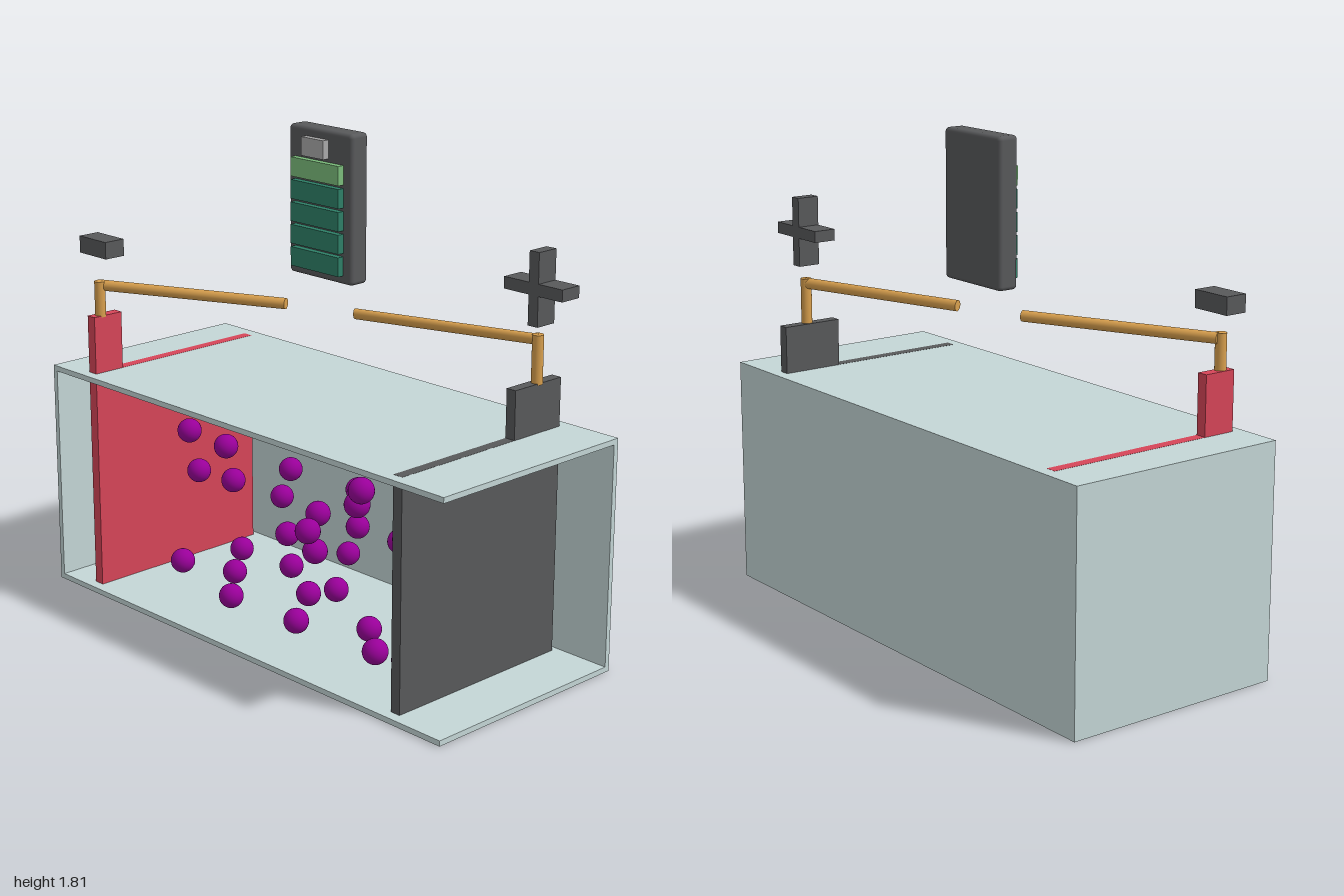
import * as THREE from 'three';
import { RoundedBoxGeometry } from 'three/addons/geometries/RoundedBoxGeometry.js';

const mat = (color) => new THREE.MeshStandardMaterial({ color });
const M = {
  tank: mat(0xc4d6d6), dark: mat(0x58595b), red: mat(0xd64558), copper: mat(0xd9a04e),
  teal: mat(0x2f8068), green: mat(0x7cbd7c), silver: mat(0xaaaaaa), ion: mat(0x990099),
};

export function createModel() {
  const root = new THREE.Group();

  const add = (parent, name, geometry, material) => {
    const mesh = new THREE.Mesh(geometry, material);
    mesh.name = name;
    parent.add(mesh);
    return mesh;
  };
  const group = (name) => {
    const g = new THREE.Group();
    g.name = name;
    root.add(g);
    return g;
  };
  // Box given by its extents along each axis
  const box = (parent, name, material, [x0, x1], [y0, y1], [z0, z1]) => {
    const m = add(parent, name, new THREE.BoxGeometry(x1 - x0, y1 - y0, z1 - z0), material);
    m.position.set((x0 + x1) / 2, (y0 + y1) / 2, (z0 + z1) / 2);
    return m;
  };
  // Round rod between two points
  const rod = (parent, name, a, b, r) => {
    const p = new THREE.Vector3(...a), q = new THREE.Vector3(...b);
    const m = add(parent, name, new THREE.CylinderGeometry(r, r, p.distanceTo(q), 32), M.copper);
    m.position.copy(p).add(q).multiplyScalar(0.5);
    m.quaternion.setFromUnitVectors(new THREE.Vector3(0, 1, 0), q.sub(p).normalize());
    return m;
  };

  // Tank: floor, lid, left wall and back wall; the other two sides are open
  const tank = group('tank');
  const W = [-0.425, 0.425], L = [-1, 1];
  box(tank, 'floor', M.tank, W, [0, 0.02], L);
  box(tank, 'lid', M.tank, W, [0.83, 0.85], L);
  box(tank, 'leftWall', M.tank, [0.405, 0.425], [0.02, 0.83], L);
  box(tank, 'backWall', M.tank, [-0.425, 0.405], [0.02, 0.83], [-1, -0.98]);

  // Electrode plates with tabs standing above the lid
  const zFront = [0.74, 0.78], zBack = [-0.835, -0.795];
  const frontElectrode = group('frontElectrode');
  box(frontElectrode, 'frontPlate', M.dark, [-0.385, 0.38], [-0.0005, 0.8505], zFront);
  box(frontElectrode, 'frontTab', M.dark, [0.15, 0.38], [0.85, 1.025], zFront);
  const backElectrode = group('backElectrode');
  box(backElectrode, 'backPlate', M.red, [-0.385, 0.38], [-0.0005, 0.8505], zBack);
  box(backElectrode, 'backTab', M.red, [-0.385, -0.26], [0.85, 1.065], zBack);

  // Wires: a short post on each tab and an arm towards the battery
  const wires = group('wires');
  rod(wires, 'frontPost', [0.273, 1.02, 0.765], [0.273, 1.193, 0.765], 0.02);
  rod(wires, 'frontArm', [0.275, 1.175, 0.765], [0.06, 1.175, 0.11], 0.02).scale.x = 0.8;
  rod(wires, 'backPost', [-0.343, 1.06, -0.812], [-0.343, 1.193, -0.812], 0.02);
  rod(wires, 'backArm', [-0.33, 1.175, -0.812], [-0.022, 1.175, -0.157], 0.02);

  // Battery panel with charge bars on its right face
  const battery = group('battery');
  const panel = add(battery, 'batteryPanel', new RoundedBoxGeometry(0.08, 0.53, 0.315, 3, 0.015), M.dark);
  panel.position.set(0.065, 1.545, -0.0325);
  for (let i = 0; i < 5; i++) {
    const y = 1.312 + i * 0.08;
    box(battery, 'chargeBar', i < 4 ? M.teal : M.green, [0, 0.03], [y, y + 0.068], [-0.155, 0.085]);
  }
  box(battery, 'batteryCap', M.silver, [0, 0.03], [1.712, 1.778], [-0.1, 0.01]);

  // Polarity signs floating above the posts
  const plus = group('plusSign');
  const px = [0.21, 0.295];
  box(plus, 'plusUpright', M.dark, px, [1.237, 1.492], [0.772, 0.814]);
  box(plus, 'plusFrontArm', M.dark, px, [1.343, 1.385], [0.814, 0.917]);
  box(plus, 'plusBackArm', M.dark, px, [1.343, 1.385], [0.663, 0.772]);
  box(root, 'minusSign', M.dark, [-0.342, -0.258], [1.28, 1.343], [-0.925, -0.773]);

  // Ions scattered inside the tank
  const ions = group('ions');
  const ball = new THREE.SphereGeometry(0.045, 24, 16);
  const spots = [
    [0.1, 0.37, 0.3], [-0.1, 0.47, 0.09], [0.15, 0.16, 0.63], [-0.2, 0.38, 0.18],
    [0, 0.25, 0.55], [-0.3, 0.5, 0.25], [-0.1, 0.31, 0.54], [-0.15, 0.52, 0.57],
    [-0.3, 0.66, 0.49], [-0.35, 0.74, 0.56], [-0.25, 0.42, 0.69], [-0.35, 0.19, 0.63],
    [-0.2, 0.11, 0.62], [-0.3, 0.15, 0.19], [-0.1, 0.11, 0.35], [0.1, 0.09, 0.33],
    [-0.1, 0.15, 0.04], [0, 0.15, 0.08], [-0.25, 0.17, -0.48], [-0.25, 0.11, -0.21],
    [-0.1, 0.12, -0.36], [0.2, 0.31, 0.33],
  ];
  // More ions spread evenly through the rear of the tank
  for (let i = 1; i <= 14; i++) {
    const x = -0.15 + 0.5 * ((i * 0.618) % 1);
    const y = 0.1 + 0.65 * ((i * 0.755) % 1);
    const z = -0.7 + (0.3 + 1.3 * (x + 0.15)) * ((i * 0.57) % 1);
    spots.push([x, y, z]);
  }
  for (const p of spots) add(ions, 'ion', ball, M.ion).position.set(...p);

  return root;
}
